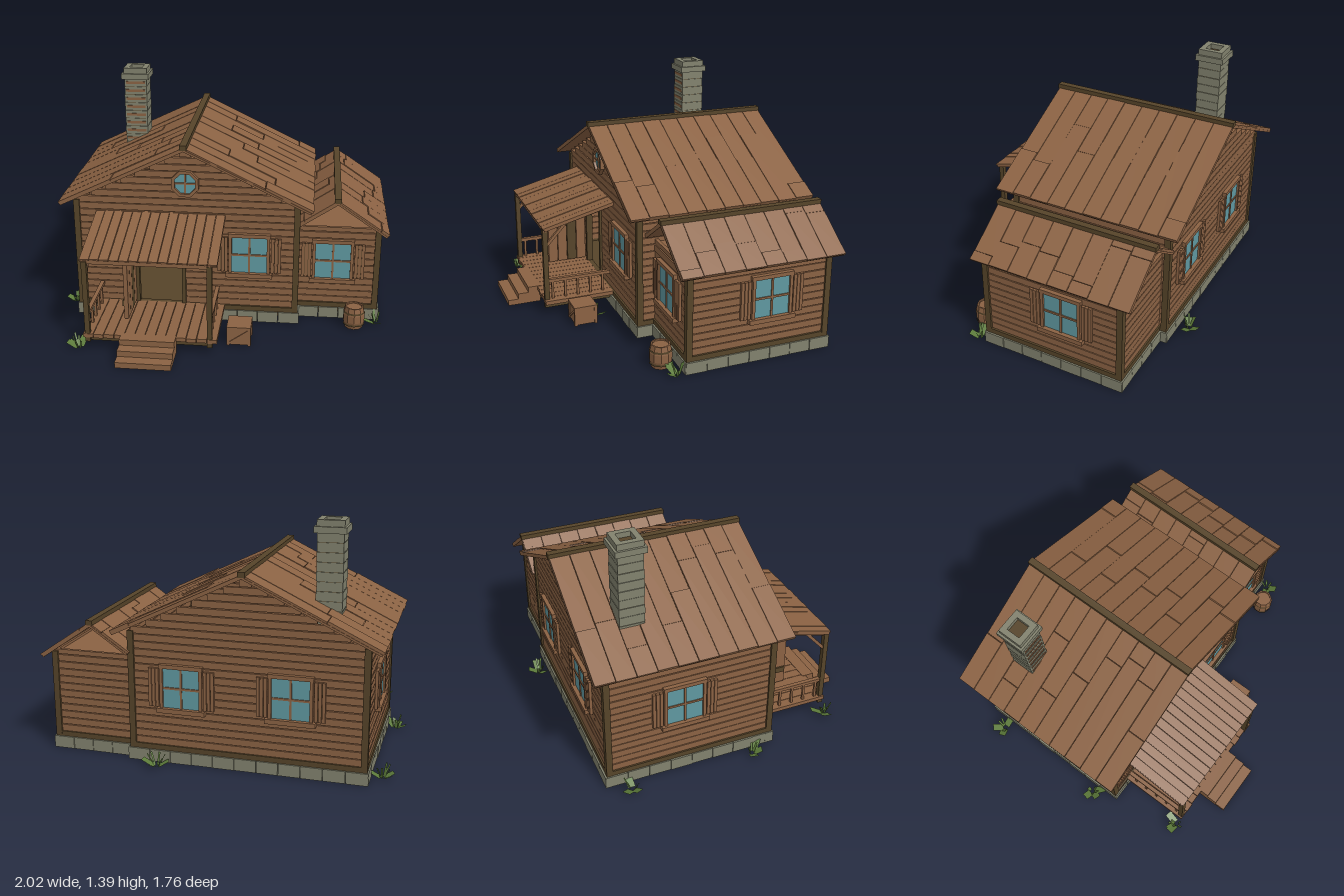
import * as THREE from 'three';

const paint = (name, color) => {
  const m = new THREE.MeshStandardMaterial({ color });
  m.name = name;
  return m;
};

export function createModel() {
  const wood = paint('plank wood', 0x8b6243);
  const dark = paint('dark timber', 0x564429);
  const stone = paint('grey stone', 0x82826e);
  const glass = paint('window glass', 0x6099a1);
  const leaf = paint('grass green', 0x5c7a3a);
  leaf.side = THREE.DoubleSide;

  let seed = 7;
  const rnd = () => (seed = (seed * 16807) % 2147483647) / 2147483647;

  const model = new THREE.Group();
  model.name = 'logCabin';
  const part = (name, x = 0, y = 0, z = 0, ry = 0) => {
    const g = new THREE.Group();
    g.name = name;
    g.position.set(x, y, z);
    g.rotation.y = ry;
    model.add(g);
    return g;
  };
  // Box given by its limits on each axis
  const box = (g, name, mat, x0, x1, y0, y1, z0, z1) => {
    const m = new THREE.Mesh(new THREE.BoxGeometry(x1 - x0, y1 - y0, z1 - z0), mat);
    m.position.set((x0 + x1) / 2, (y0 + y1) / 2, (z0 + z1) / 2);
    m.name = name;
    g.add(m);
    return m;
  };
  // Straight square beam between two points
  const beam = (g, name, mat, a, b, t) => {
    const p = new THREE.Vector3(...a), q = new THREE.Vector3(...b);
    const m = new THREE.Mesh(new THREE.BoxGeometry(t, t, p.distanceTo(q)), mat);
    m.position.copy(p).lerp(q, 0.5);
    m.lookAt(q);
    m.name = name;
    g.add(m);
  };

  // Plank walls: local x runs along the wall, +z points outwards
  const wall = (name, x, z, ry, half, top, halfAt, door) => {
    const g = part(name, x, 0, z, ry), pitch = 0.043;
    for (let y = 0.1; y < top - 0.01; y += pitch) {
      const y1 = Math.min(y + pitch - 0.005, top);
      const h = halfAt ? Math.min(half, halfAt(y1)) : half;
      if (h < 0.02) break;
      const out = rnd() * 0.004;
      const spans = door && y < door[2] ? [[-h, door[0]], [door[1], h]] : [[-h, h]];
      for (const [a, b] of spans) box(g, 'plank', wood, a, b, y, y1, -0.02, out);
    }
    box(g, 'sill beam', dark, -half, half, 0.068, 0.1, -0.02, 0.012);
  };
  const MX = -0.215, MZ = -0.255, MH = 0.665, MD = 0.495;
  const gable = y => (1.1 - y) / 0.4834;
  wall('frontWall', MX, MZ + MD, 0, MH, 1.09, gable, [-0.295, -0.025, 0.61]);
  wall('backWall', MX, MZ - MD, Math.PI, MH, 1.09, gable);
  wall('leftWall', MX + MH, MZ, Math.PI / 2, MD, 0.77);
  wall('rightWall', MX - MH, MZ, -Math.PI / 2, MD, 0.77);
  wall('annexFrontWall', 0.69, 0.14, 0, 0.245, 0.6);
  wall('annexBackWall', 0.69, -0.71, Math.PI, 0.245, 0.6);
  wall('annexSideWall', 0.935, -0.285, Math.PI / 2, 0.425, 0.6);
  box(model, 'annexCeiling', wood, 0.45, 0.93, 0.575, 0.585, -0.7, 0.13);

  // Corner posts
  const posts = part('cornerPosts');
  for (const [x, z, h] of [[-0.875, 0.235, 0.76], [0.445, 0.235, 0.76], [-0.875, -0.745, 0.76],
    [0.445, -0.745, 0.76], [0.93, 0.135, 0.59], [0.93, -0.705, 0.59]])
    box(posts, 'corner post', dark, x - 0.018, x + 0.018, 0.068, h, z - 0.018, z + 0.018);

  // Floors and stone foundation blocks
  box(model, 'mainFloor', dark, -0.87, 0.44, 0.03, 0.085, -0.74, 0.23);
  box(model, 'annexFloor', dark, 0.44, 0.93, 0.03, 0.085, -0.7, 0.13);
  const foundation = part('foundation');
  const blocks = (a, b, fixed, alongX) => {
    const n = Math.round((b - a) / 0.13), s = (b - a) / n;
    for (let i = 0; i < n; i++) {
      const p = a + i * s, q = p + s - 0.003, w = 0.024 + rnd() * 0.004;
      if (alongX) box(foundation, 'stone block', stone, p, q, 0, 0.07, fixed - w, fixed + w);
      else box(foundation, 'stone block', stone, fixed - w, fixed + w, 0, 0.07, p, q);
    }
  };
  blocks(-0.9, 0.47, 0.235, true);
  blocks(-0.9, 0.47, -0.745, true);
  blocks(-0.77, 0.26, -0.875, false);
  blocks(-0.77, 0.26, 0.445, false);
  blocks(0.47, 0.955, 0.135, true);
  blocks(0.47, 0.955, -0.705, true);
  blocks(-0.73, 0.16, 0.93, false);

  // Roof slopes: boards run down local +x from the ridge
  const slope = (name, x, y, z, ry, run, drop, width, rows, split) => {
    const g = part(name, x, y, z, ry);
    g.rotation.z = -Math.atan2(drop, run);
    const len = Math.hypot(run, drop), w = width / rows;
    box(g, 'roof deck', wood, 0, len - 0.006, -0.024, -0.012, -width / 2, width / 2);
    for (let i = 0; i < rows; i++) {
      const z0 = -width / 2 + i * w, z1 = z0 + w - 0.003;
      const cut = split ? len * (0.15 + 0.7 * rnd()) : len;
      box(g, 'roof board', wood, 0, cut, -0.012, -rnd() * 0.004, z0, z1);
      if (split) box(g, 'roof board', wood, cut + 0.003, len - rnd() * 0.005, -0.012, 0.001 + rnd() * 0.003, z0, z1);
    }
  };
  slope('mainRoofLeft', MX, 1.13, MZ, 0, 0.755, 0.365, 1.15, 10, true);
  slope('mainRoofRight', MX, 1.13, MZ, Math.PI, 0.755, 0.365, 1.15, 10, true);
  slope('annexRoofLeft', 0.68, 0.795, -0.29, 0, 0.312, 0.212, 0.98, 8, true);
  slope('annexRoofRight', 0.68, 0.795, -0.29, Math.PI, 0.235, 0.16, 0.98, 8, true);
  slope('porchRoof', -0.37, 0.695, 0.24, -Math.PI / 2, 0.445, 0.115, 0.78, 14, false);
  box(model, 'mainRidge', dark, MX - 0.02, MX + 0.02, 1.112, 1.142, -0.834, 0.324);
  box(model, 'annexRidge', dark, 0.66, 0.70, 0.778, 0.805, -0.784, 0.204);

  // Windows with bars, frame and slatted shutters
  const windowAt = (name, x, y, z, ry) => {
    const g = part(name, x, y, z, ry);
    box(g, 'pane', glass, -0.105, 0.105, -0.115, 0.115, 0.002, 0.01);
    box(g, 'upright bar', wood, -0.006, 0.006, -0.115, 0.115, 0.008, 0.016);
    box(g, 'cross bar', wood, -0.105, 0.105, -0.006, 0.006, 0.008, 0.016);
    box(g, 'lintel', wood, -0.127, 0.127, 0.115, 0.138, 0, 0.024);
    box(g, 'sill', wood, -0.14, 0.14, -0.142, -0.115, 0, 0.034);
    for (const s of [-1, 1]) {
      box(g, 'jamb', wood, s * 0.114 - 0.009, s * 0.114 + 0.009, -0.115, 0.115, 0, 0.022);
      for (let i = 0; i < 3; i++) {
        const c = s * (0.139 + i * 0.021);
        box(g, 'shutter slat', wood, c - 0.009, c + 0.009, -0.112, 0.112, 0.002, 0.018);
      }
      box(g, 'shutter back', dark, s * 0.16 - 0.029, s * 0.16 + 0.029, -0.105, 0.105, 0.001, 0.01);
    }
  };
  windowAt('frontWindow', 0.165, 0.445, 0.243, 0);
  windowAt('annexFrontWindow', 0.665, 0.385, 0.143, 0);
  windowAt('annexSideWindow', 0.938, 0.378, -0.352, Math.PI / 2);
  windowAt('rightWindow', -0.883, 0.445, -0.3, -Math.PI / 2);
  windowAt('backWindowA', 0.15, 0.445, -0.753, Math.PI);
  windowAt('backWindowB', -0.47, 0.445, -0.753, Math.PI);

  // Eight-sided gable window
  const attic = part('gableWindow', MX, 0.888, 0.245);
  const ring = (name, mat, r, r0, d) => {
    const s = new THREE.Shape(), at = (i, q) => [q * Math.cos((i + 0.5) * Math.PI / 4), q * Math.sin((i + 0.5) * Math.PI / 4)];
    for (let i = 0; i < 8; i++) i ? s.lineTo(...at(i, r)) : s.moveTo(...at(i, r));
    if (r0) {
      const h = new THREE.Path();
      for (let i = 0; i < 8; i++) i ? h.lineTo(...at(i, r0)) : h.moveTo(...at(i, r0));
      s.holes.push(h);
    }
    const m = new THREE.Mesh(new THREE.ExtrudeGeometry(s, { depth: d, bevelEnabled: false }), mat);
    m.name = name;
    attic.add(m);
  };
  ring('frame', wood, 0.086, 0.066, 0.025);
  ring('pane', glass, 0.067, 0, 0.009);
  box(attic, 'upright bar', wood, -0.005, 0.005, -0.065, 0.065, 0.008, 0.016);
  box(attic, 'cross bar', wood, -0.065, 0.065, -0.005, 0.005, 0.008, 0.016);

  // Chimney with stone courses, brick bands and a hollow cap
  const chimney = part('chimney', -0.635, 0, -0.525);
  for (let i = 0; i < 10; i++) {
    const y = 0.8 + i * 0.053, w = 0.071 + rnd() * 0.003;
    box(chimney, 'stone course', stone, -w, w, y, y + 0.05, -w, w);
    box(chimney, 'brick band', wood, -0.062, 0.062, y + 0.016, y + 0.032, w, w + 0.003);
  }
  box(chimney, 'core', dark, -0.068, 0.068, 0.8, 1.365, -0.068, 0.068);
  for (const [w, y0, y1] of [[0.088, 1.325, 1.36], [0.075, 1.36, 1.395]])
    for (const s of [-1, 1]) {
      box(chimney, 'cap side', stone, Math.min(s * w, s * 0.042), Math.max(s * w, s * 0.042), y0, y1, -w, w);
      box(chimney, 'cap end', stone, -0.042, 0.042, y0, y1, Math.min(s * w, s * 0.042), Math.max(s * w, s * 0.042));
    }

  // Porch deck, posts, rails and steps
  const porch = part('porch');
  box(porch, 'deck base', dark, -0.73, -0.01, 0.05, 0.078, 0.26, 0.66);
  for (let i = 0; i < 13; i++) {
    const x = -0.76 + i * 0.06;
    box(porch, 'deck board', wood, x, x + 0.057, 0.078, 0.102, 0.25, 0.675 + rnd() * 0.012);
  }
  for (const x of [-0.735, -0.025]) {
    box(porch, 'post', dark, x - 0.015, x + 0.015, 0.05, 0.56, 0.65, 0.68);
    box(porch, 'hand rail', wood, x - 0.012, x + 0.012, 0.212, 0.232, 0.26, 0.66);
    for (let z = 0.3; z < 0.64; z += 0.08)
      box(porch, 'baluster', wood, x - 0.007, x + 0.007, 0.1, 0.214, z, z + 0.014);
    beam(porch, 'brace', wood, [x, 0.455, 0.655], [x, 0.59, 0.53], 0.018);
    beam(porch, 'rafter', wood, [x, 0.656, 0.26], [x, 0.555, 0.665], 0.02);
  }
  box(porch, 'front beam', wood, -0.75, -0.01, 0.545, 0.565, 0.65, 0.675);
  const steps = part('steps');
  for (let i = 0; i < 3; i++)
    box(steps, 'step', wood, -0.54, -0.22, i ? i * 0.035 - 0.01 : 0, 0.035 * (i + 1), 0.66, 0.865 - i * 0.065);
  box(steps, 'step core', dark, -0.53, -0.23, 0.005, 0.07, 0.655, 0.73);

  // Door frame and door standing open
  const door = part('door');
  for (const x of [-0.518, -0.232]) box(door, 'door jamb', dark, x - 0.012, x + 0.012, 0.1, 0.63, 0.215, 0.256);
  box(door, 'door head', dark, -0.53, -0.22, 0.61, 0.635, 0.215, 0.256);
  for (let i = 0; i < 4; i++)
    box(door, 'door board', i === 2 ? dark : wood, -0.55, -0.525, 0.12, 0.615, 0.515 - i * 0.064 - 0.06, 0.515 - i * 0.064);
  for (const y of [0.2, 0.52]) box(door, 'door batten', dark, -0.56, -0.55, y, y + 0.035, 0.27, 0.51);

  // Crate and barrel
  const crate = part('crate', 0.13, 0, 0.485);
  box(crate, 'crate body', wood, -0.065, 0.065, 0.004, 0.112, -0.065, 0.065);
  box(crate, 'crate lid', wood, -0.071, 0.071, 0.105, 0.12, -0.071, 0.071);
  for (const sx of [-1, 1]) for (const sz of [-1, 1])
    box(crate, 'crate edge', wood, sx * 0.062 - 0.009, sx * 0.062 + 0.009, 0, 0.106, sz * 0.062 - 0.009, sz * 0.062 + 0.009);
  beam(crate, 'crate slat', wood, [-0.055, 0.015, 0.065], [0.055, 0.095, 0.065], 0.012);
  const barrel = part('barrel', 0.805, 0, 0.245);
  const profile = [[0, 0], [0.054, 0], [0.066, 0.045], [0.066, 0.09], [0.056, 0.137], [0.047, 0.137], [0.047, 0.128], [0, 0.128]];
  const lathe = new THREE.LatheGeometry(profile.map(p => new THREE.Vector2(...p)), 10).toNonIndexed();
  lathe.computeVertexNormals();
  const staves = new THREE.Mesh(lathe, wood);
  staves.name = 'staves';
  barrel.add(staves);
  for (const y of [0.03, 0.105]) {
    const hoop = new THREE.Mesh(new THREE.CylinderGeometry(0.067, 0.067, 0.012, 10, 1, true), dark);
    hoop.position.y = y;
    hoop.name = 'hoop';
    barrel.add(hoop);
  }

  // Grass tufts: broad low leaves and thin upright blades
  for (const [x, z] of [[-0.96, -0.64], [-0.95, 0.1], [-0.79, 0.67], [0.09, 0.39], [0.28, -0.83], [0.94, 0.2]]) {
    const tuft = part('grassTuft', x, 0, z);
    for (let i = 0; i < 9; i++) {
      const a = rnd() * 6.28, wide = i < 3, h = 0.05 + rnd() * 0.035;
      const geo = new THREE.PlaneGeometry(wide ? 0.045 : 0.012, h).translate(0, h / 2, 0);
      geo.rotateX(wide ? 1.1 : 0.2 + rnd() * 0.4).rotateY(a);
      const m = new THREE.Mesh(geo, leaf);
      m.position.set(Math.sin(a) * 0.012, 0.002, Math.cos(a) * 0.012);
      m.name = 'blade';
      tuft.add(m);
    }
  }
  return model;
}
